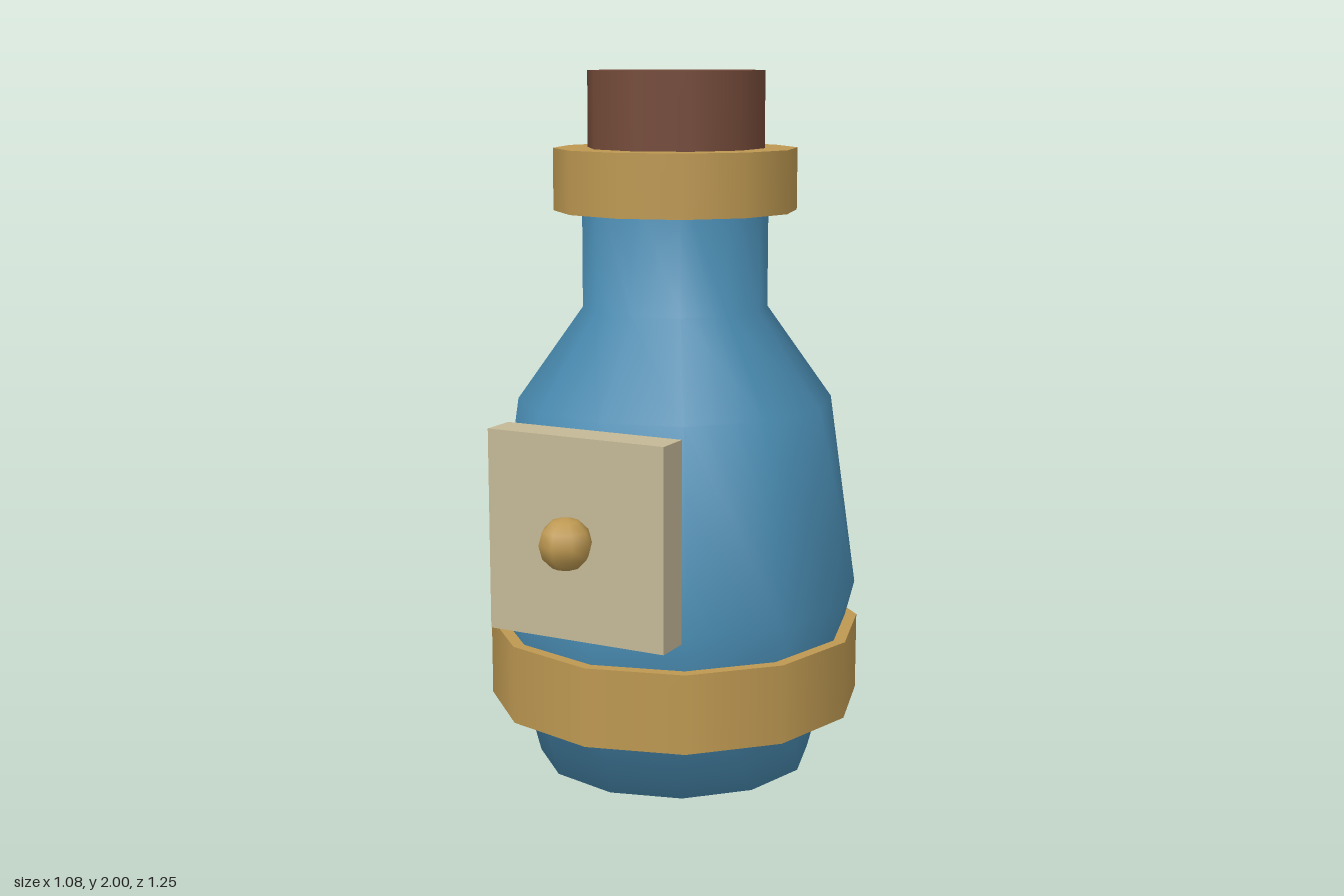
import * as THREE from 'three';

const mat = (name, color) => {
  const m = new THREE.MeshStandardMaterial({ color });
  m.name = name;
  return m;
};

export function createModel() {
  const glass = mat('blue glass', 0x4c90b7);
  const brass = mat('brass', 0xbd9851);
  const cork = mat('cork brown', 0x744a39);
  const parchment = mat('parchment', 0xc4b896);

  const model = new THREE.Group();
  model.name = 'bottle';
  const axisZ = -0.085; // the bottle sits behind its label

  const add = (name, geometry, material, x, y, z) => {
    const mesh = new THREE.Mesh(geometry, material);
    mesh.name = name;
    mesh.position.set(x, y, z);
    model.add(mesh);
  };

  // A closed upright drum between two heights
  const drum = (name, radius, y0, y1, sides, material) =>
    add(name, new THREE.CylinderGeometry(radius, radius, y1 - y0, sides), material, 0, (y0 + y1) / 2, axisZ);

  // Bottle body: base, belly, shoulder, neck
  const profile = [[0, 0], [0.4, 0], [0.533, 0.51], [0.453, 1.07], [0.265, 1.335], [0.265, 1.7]]
    .map(([r, y]) => new THREE.Vector2(r, y));
  add('body', new THREE.LatheGeometry(profile, 12), glass, 0, 0, axisZ);

  // Brass bands and stopper
  drum('lowerBand', 0.541, 0.183, 0.408, 12, brass);
  drum('neckCollar', 0.346, 1.61, 1.785, 12, brass);
  drum('stopper', 0.253, 1.7, 2, 10, cork);

  // Front label with its round stud
  add('label', new THREE.BoxGeometry(0.533, 0.557, 0.104), parchment, 0, 0.777, 0.45);
  add('stud', new THREE.SphereGeometry(0.073, 8, 6), brass, 0, 0.778, 0.55);

  return model;
}
